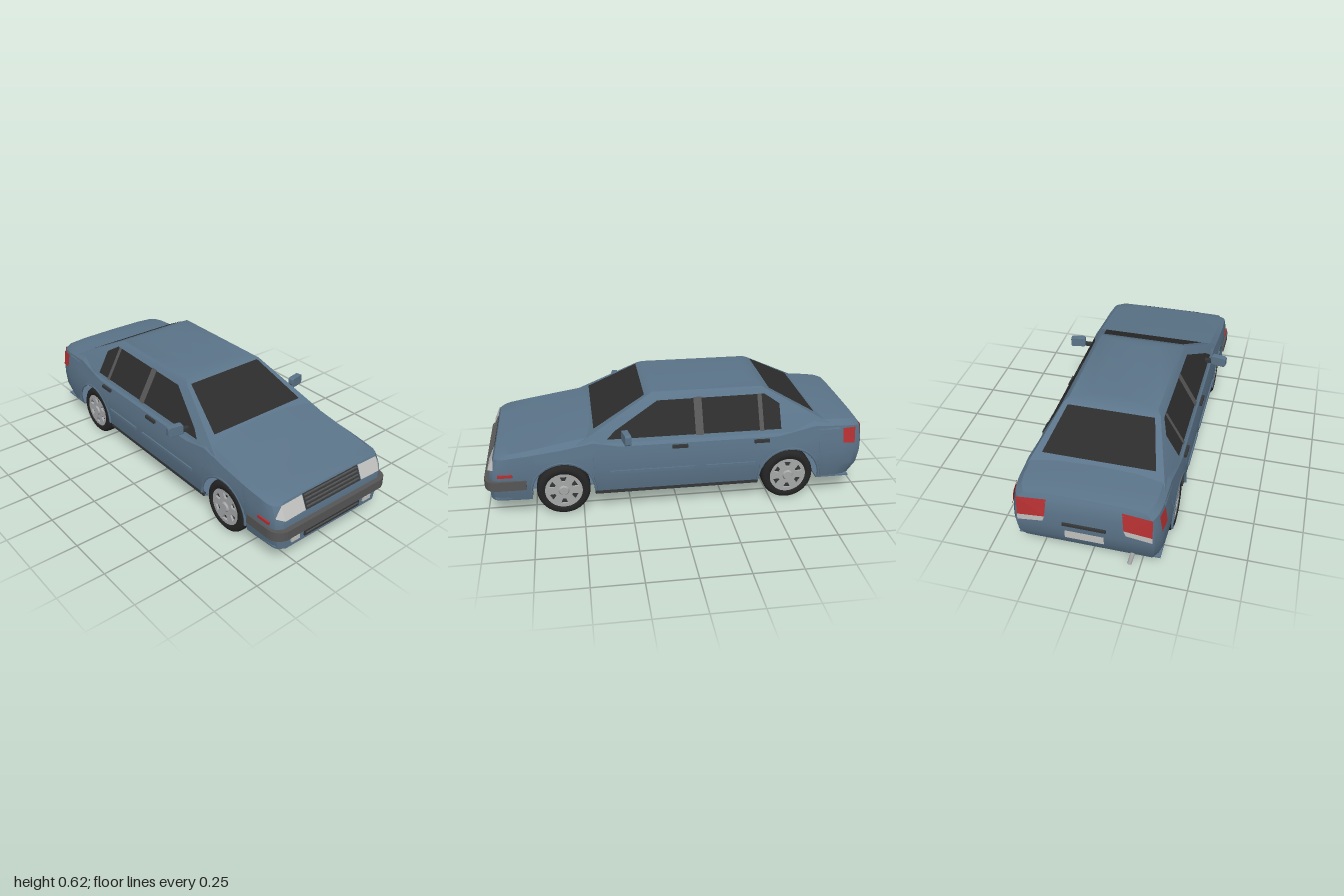
import * as THREE from 'three';
import { toCreasedNormals } from 'three/addons/utils/BufferGeometryUtils.js';

const material = (name, color) => {
  const m = new THREE.MeshStandardMaterial({ color, side: THREE.DoubleSide });
  m.name = name;
  return m;
};
const { clamp } = THREE.MathUtils;

// piecewise linear lookup in [position, value] pairs, positions ascending
function lookup(table, v) {
  for (let i = 1; i < table.length; i++) {
    const [a, p] = table[i - 1], [b, q] = table[i];
    if (v <= b) return p + (q - p) * clamp((v - a) / (b - a), 0, 1);
  }
  return table[table.length - 1][1];
}

// skin over rings of [x, y, z] points, optionally with flat ends
function loft(rings, capped) {
  const n = rings[0].length, pos = [];
  const quad = (a, b, c, d) => pos.push(...a, ...b, ...c, ...a, ...c, ...d);
  for (let j = 0; j < rings.length - 1; j++)
    for (let i = 0; i < n - 1; i++)
      quad(rings[j][i], rings[j][i + 1], rings[j + 1][i + 1], rings[j + 1][i]);
  if (capped) for (let i = 0; i < (n - 1) / 2; i++) {
    const f = rings[rings.length - 1], r = rings[0], k = n - 1 - i;
    quad(f[k], f[i], f[i + 1], f[k - 1]);
    quad(r[i], r[k], r[k - 1], r[i + 1]);
  }
  const g = new THREE.BufferGeometry();
  g.setAttribute('position', new THREE.Float32BufferAttribute(pos, 3));
  return toCreasedNormals(g, 0.45);
}

// body shape rules
const ARCHES = [0.6, -0.59], ARCH_R = 0.16, WHEEL_Y = 0.138;
const WIDTH = [[-0.985, 0.335], [-0.95, 0.357], [-0.88, 0.368], [-0.6, 0.375], [0.8, 0.375], [0.93, 0.368], [0.955, 0.357], [0.975, 0.325]];
const TOP = [[-0.985, 0.435], [-0.94, 0.447], [-0.72, 0.457], [-0.52, 0.415], [0.3, 0.415], [0.44, 0.44], [0.92, 0.36], [0.975, 0.347]];
const bodyX = (y, z) => lookup(WIDTH, z) - Math.max(0, 0.2 - y) * 0.22 - Math.max(0, y - 0.3) * 0.15;
const frontLean = y => -Math.max(0, y - 0.26) * 0.45;
const rearLean = y => Math.max(0, y - 0.38) * 0.5 + Math.max(0, 0.2 - y) * 0.55;
const frontZ = (x, y) => 0.975 - Math.max(0, Math.abs(x) - 0.32) * 0.75 + frontLean(y);
const rearZ = (x, y) => -0.985 + Math.max(0, Math.abs(x) - 0.325) * 1.2 + rearLean(y);
const cabinX = y => 0.355 - (y - 0.4) * 0.564;
const screenZ = y => 0.155 + (0.595 - y) * 1.84;
const backZ = y => -0.485 - (0.595 - y) * 1.89;

function bodyGeometry() {
  const stations = [-0.985, -0.95, -0.88, -0.8, -0.35, -0.2, 0, 0.15, 0.3, 0.38, 0.8, 0.88, 0.93, 0.955, 0.975];
  for (const c of ARCHES) {
    stations.push(c - ARCH_R - 0.001, c + ARCH_R + 0.001);
    for (let i = 0; i <= 16; i++) stations.push(c + ARCH_R * Math.cos(i * Math.PI / 16));
  }
  stations.sort((a, b) => a - b);
  return loft(stations.map(z => {
    let low = z > 0.75 ? 0.098 : 0.108;
    for (const c of ARCHES) {
      const d = z - c;
      if (Math.abs(d) <= ARCH_R + 1e-6) low = WHEEL_Y + Math.sqrt(Math.max(0, ARCH_R ** 2 - d * d));
    }
    const top = lookup(TOP, z), drop = 0.04 - Math.max(0, z - 0.6) * 0.066;
    const half = [0, 0.25, 0.5, 0.75, 1].map(t => {
      const y = low + (top - drop - low) * t;
      return [bodyX(y, z), y];
    });
    half.push([bodyX(top, z) - 0.022, top - drop * 0.3], [0.2, top - 0.003]);
    const place = ([x, y]) => [x, y, z + frontLean(y) * clamp((z - 0.6) / 0.33, 0, 1)
      + rearLean(y) * clamp((-0.8 - z) / 0.15, 0, 1)];
    return [...half.map(place), place([0, top]), ...half.map(([x, y]) => place([-x, y])).reverse()];
  }), true);
}

function cabinGeometry() {
  const ring = (x, y, f, r) => [[x, y, f], [x, y, r], [-x, y, r], [-x, y, f], [x, y, f]];
  return loft([
    ring(cabinX(0.395), 0.395, screenZ(0.395), backZ(0.395)),
    ring(cabinX(0.595), 0.595, screenZ(0.595), backZ(0.595)),
    ring(0.226, 0.609, 0.125, -0.455),
    ring(0.12, 0.616, 0.08, -0.41),
    ring(0, 0.618, 0.06, -0.39),
  ]);
}

export function createModel() {
  const car = new THREE.Group();
  car.name = 'car';
  const paint = material('body paint', 0x5b7489);
  const glass = material('dark glass', 0x2c2c2c);
  const rubber = material('tyre rubber', 0x252525);
  const trim = material('grey trim', 0x555655);
  const black = material('black trim', 0x343638);
  const silver = material('wheel silver', 0xa6a8a9);
  const lamp = material('clear lamp', 0xc2c3c0);
  const red = material('red lamp', 0xb53032);

  const add = (name, geometry, mat, parent = car) => {
    const m = new THREE.Mesh(geometry, mat);
    m.name = name;
    parent.add(m);
    return m;
  };
  const box = (name, mat, w, h, d, x, y, z) => {
    const m = add(name, new THREE.BoxGeometry(w, h, d), mat);
    m.position.set(x, y, z);
    return m;
  };
  // convex face laid on a surface: each 2D point is mapped to 3D by the rule
  const face = (name, mat, points, rule) => {
    const p = points.map(q => rule(...q)), pos = [];
    for (let i = 1; i < p.length - 1; i++) pos.push(...p[0], ...p[i], ...p[i + 1]);
    const g = new THREE.BufferGeometry();
    g.setAttribute('position', new THREE.Float32BufferAttribute(pos, 3));
    g.computeVertexNormals();
    return add(name, g, mat);
  };
  const rect = (x0, y0, x1, y1) => [[x0, y0], [x1, y0], [x1, y1], [x0, y1]];

  // shell, cabin and floor with openings for the wheels
  add('body', bodyGeometry(), paint);
  add('cabin', cabinGeometry(), paint);
  box('floor', paint, 0.53, 0.008, 1.88, 0, 0.112, 0.02);
  for (const s of [1, -1])
    for (const [a, b] of [[-0.93, -0.75], [-0.43, 0.44], [0.76, 0.95]])
      box('floorSide', paint, 0.09, 0.008, b - a, s * 0.307, 0.112, (a + b) / 2);

  // front and rear glass
  face('windscreen', glass, [[-0.29, 0.446], [0.29, 0.446], [0.225, 0.592], [-0.225, 0.592]],
    (x, y) => [x, y + 0.003, screenZ(y) + 0.003]);
  face('rearWindow', glass, [[0.28, 0.466], [-0.28, 0.466], [-0.22, 0.59], [0.22, 0.59]],
    (x, y) => [x, y + 0.003, backZ(y) - 0.003]);

  // bumper wraps round the nose
  const plan = new THREE.Shape();
  plan.moveTo(0.383, 0.785);
  plan.lineTo(0.383, 0.93);
  plan.quadraticCurveTo(0.378, 0.99, 0.32, 1);
  plan.lineTo(-0.32, 1);
  plan.quadraticCurveTo(-0.378, 0.99, -0.383, 0.93);
  plan.lineTo(-0.383, 0.785);
  const bumper = new THREE.ExtrudeGeometry(plan, { depth: 0.05, bevelEnabled: false, curveSegments: 6 });
  add('frontBumper', bumper.rotateX(Math.PI / 2).translate(0, 0.222, 0), trim);

  // grilles
  const onFront = lift => (x, y) => [x, y, frontZ(x, y) + lift];
  const onRear = lift => (x, y) => [x, y, rearZ(x, y) - lift];
  face('grille', black, rect(-0.187, 0.268, 0.187, 0.342), onFront(0.006));
  for (const y of [0.282, 0.299, 0.316, 0.333])
    box('grilleBar', trim, 0.355, 0.006, 0.008, 0, y, frontZ(0, y) + 0.007);
  box('lowerGrille', black, 0.376, 0.036, 0.02, 0, 0.137, 0.973);
  box('lowerGrilleBar', trim, 0.36, 0.007, 0.008, 0, 0.137, 0.982);

  // rear details
  face('numberPlate', lamp, rect(-0.095, 0.2, 0.095, 0.245), onRear(0.005));
  box('bootHandle', black, 0.21, 0.014, 0.014, 0, 0.285, -0.988);
  const exhaust = add('exhaust', new THREE.CylinderGeometry(0.011, 0.011, 0.09, 12, 1, true), silver);
  exhaust.rotation.x = Math.PI / 2;
  exhaust.position.set(-0.22, 0.115, -0.955);

  for (const s of [1, -1]) {
    const onSide = lift => (z, y) => [s * (bodyX(y, z) + lift), y, z];
    const onCabin = lift => (z, y) => [s * (cabinX(y) + lift), y, z];

    // side glass and pillars
    face('sideWindows', glass, [[0.37, 0.413], [0.325, 0.45], [0.1, 0.574], [-0.465, 0.578], [-0.54, 0.53], [-0.54, 0.413]], onCabin(0.004));
    face('middlePillar', trim, rect(-0.13, 0.41, -0.088, 0.582), onCabin(0.008));
    face('rearPillar', trim, rect(-0.448, 0.41, -0.425, 0.58), onCabin(0.008));

    // lamps
    const mirrored = pts => pts.map(([x, y]) => [s * x, y]);
    face('headlamp', lamp, mirrored([[0.19, 0.27], [0.32, 0.267], [0.32, 0.337], [0.19, 0.34]]), onFront(0.007));
    face('headlampCorner', lamp, mirrored([[0.32, 0.267], [0.355, 0.278], [0.32, 0.337]]), onFront(0.007));
    box('fogLamp', lamp, 0.053, 0.024, 0.02, s * 0.247, 0.136, 0.973);
    face('tailLamp', red, mirrored([[0.19, 0.312], [0.325, 0.298], [0.325, 0.4], [0.18, 0.41]]), onRear(0.005));
    face('reverseLamp', lamp, mirrored([[0.19, 0.312], [0.2, 0.282], [0.325, 0.265], [0.325, 0.298]]), onRear(0.005));
    face('tailLampSide', red, [[-0.945, 0.31], [-0.88, 0.318], [-0.875, 0.398], [-0.945, 0.398]], onSide(0.006));
    box('sideMarker', red, 0.012, 0.015, 0.075, s * 0.371, 0.25, 0.89);

    // door furniture and sill
    for (const z of [-0.005, -0.435]) box('doorHandle', black, 0.014, 0.016, 0.08, s * 0.372, 0.36, z);
    box('frontDoorStrip', paint, 0.012, 0.016, 0.44, s * 0.376, 0.237, 0.14);
    box('rearDoorStrip', paint, 0.012, 0.016, 0.26, s * 0.376, 0.237, -0.27);
    box('sill', black, 0.014, 0.018, 0.86, s * 0.352, 0.115, 0.005);

    // mirror
    box('mirrorArm', black, 0.06, 0.018, 0.022, s * 0.365, 0.433, 0.28);
    const outline = new THREE.Shape();
    outline.absarc(0.03, 0.016, 0.009, 0, Math.PI / 2);
    outline.absarc(-0.03, 0.016, 0.009, Math.PI / 2, Math.PI);
    outline.absarc(-0.03, -0.016, 0.009, Math.PI, Math.PI * 1.5);
    outline.absarc(0.03, -0.016, 0.009, Math.PI * 1.5, Math.PI * 2);
    const mirror = add('mirror', new THREE.ExtrudeGeometry(outline,
      { depth: 0.026, bevelSize: 0.003, bevelThickness: 0.003, bevelSegments: 2, curveSegments: 4 }), paint);
    mirror.position.set(s * 0.413, 0.447, 0.262);
    mirror.rotation.y = s * 0.18;

    // wheels, built with the axle along +z and then turned outwards
    for (const z of ARCHES) {
      const wheel = new THREE.Group();
      wheel.name = z > 0 ? 'frontWheel' : 'rearWheel';
      const profile = [[0.094, -0.045], [0.122, -0.045], [0.134, -0.036], [0.138, -0.025], [0.138, 0.025], [0.134, 0.036], [0.122, 0.045], [0.098, 0.045], [0.094, 0.03]];
      const tyre = new THREE.LatheGeometry(profile.map(p => new THREE.Vector2(...p)), 40);
      add('tyre', tyre.rotateX(Math.PI / 2), rubber, wheel);
      const disc = new THREE.Shape().absarc(0, 0, 0.097, 0, Math.PI * 2);
      for (let i = 0; i < 6; i++) {
        const a = Math.PI / 2 + i * Math.PI / 3;
        const at = (r, t) => new THREE.Vector2(r * Math.cos(a + t), r * Math.sin(a + t));
        disc.holes.push(new THREE.Path([at(0.05, -0.16), at(0.08, -0.25), at(0.08, 0.25), at(0.05, 0.16)]));
      }
      const rim = new THREE.ExtrudeGeometry(disc, { depth: 0.012, bevelEnabled: false, curveSegments: 32 });
      add('rim', rim.translate(0, 0, 0.029), silver, wheel);
      const back = new THREE.CylinderGeometry(0.095, 0.095, 0.06, 32);
      add('wheelCore', back.rotateX(Math.PI / 2).translate(0, 0, -0.008), black, wheel);
      const hub = new THREE.CylinderGeometry(0.022, 0.03, 0.012, 20);
      add('hub', hub.rotateX(Math.PI / 2).translate(0, 0, 0.044), silver, wheel);
      wheel.position.set(s * 0.315, WHEEL_Y, z);
      wheel.rotation.y = s * Math.PI / 2;
      car.add(wheel);

      // raised lip round the wheel arch
      const lip = add('archLip', new THREE.TorusGeometry(ARCH_R + 0.006, 0.007, 6, 32, Math.PI), paint);
      lip.rotation.y = Math.PI / 2;
      lip.position.set(s * 0.371, WHEEL_Y, z);
    }
  }
  return car;
}
